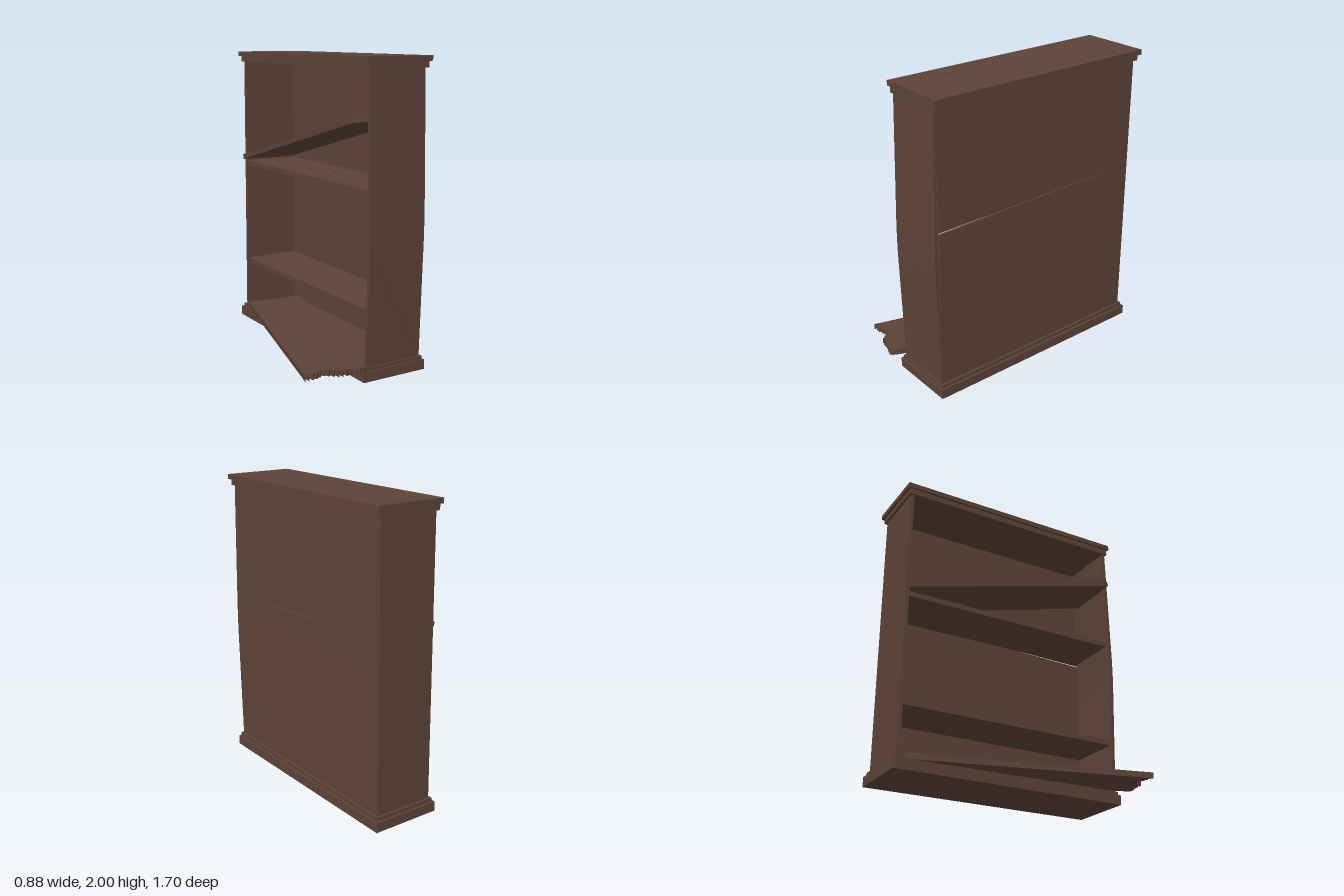
import * as THREE from 'three';

const wood = new THREE.MeshStandardMaterial({ color: 0x5d4338, flatShading: true, side: THREE.DoubleSide });
const lerp = THREE.MathUtils.lerp;

let seed = 7;
const rand = () => (seed = (seed * 16807) % 2147483647) / 2147483647;

function add(parent, name, geometry) {
  const mesh = new THREE.Mesh(geometry, wood);
  mesh.name = name;
  parent.add(mesh);
  return mesh;
}

// Box given by its limits on each axis
function slab(parent, name, x0, x1, y0, y1, z0, z1) {
  const g = new THREE.BoxGeometry(x1 - x0, y1 - y0, z1 - z0);
  g.translate((x0 + x1) / 2, (y0 + y1) / 2, (z0 + z1) / 2);
  return add(parent, name, g);
}

// Upright panel from u0 to u1: each end has its own bottom and top height.
// bow(y, t) pushes the panel outward; place(u, y, w) orients it.
function panel(parent, name, u0, u1, bottom, top, thick, bow, place) {
  const g = new THREE.BoxGeometry(1, 1, 1, 4, 14, 1);
  const p = g.attributes.position;
  for (let i = 0; i < p.count; i++) {
    const t = p.getX(i) + 0.5;
    const y = lerp(lerp(bottom[0], bottom[1], t), lerp(top[0], top[1], t), p.getY(i) + 0.5);
    const w = (p.getZ(i) - 0.5) * thick + bow(y, t);
    p.setXYZ(i, ...place(lerp(u0, u1, t), y, w));
  }
  g.computeVertexNormals();
  return add(parent, name, g);
}

// Thin wood sliver lying almost flat
function splinter(parent, x, y, z, length, turn, lift) {
  const g = new THREE.ConeGeometry(0.006, length, 3);
  g.rotateX(Math.PI / 2);
  const s = add(parent, 'splinter', g);
  s.position.set(x, y, z);
  s.rotation.set(-lift, turn, 0, 'YXZ');
}

export function createModel() {
  const model = new THREE.Group();
  model.name = 'brokenBookcase';

  // Stepped base and cornice
  slab(model, 'basePlinth', -0.04, 0.43, 0, 0.065, -0.86, 0.78);
  slab(model, 'baseStep', -0.025, 0.415, 0.065, 0.09, -0.845, 0.77);
  slab(model, 'corniceStep', -0.025, 0.42, 1.925, 1.965, -0.845, 0.77);
  slab(model, 'corniceTop', -0.04, 0.44, 1.965, 1.998, -0.86, 0.78);

  // Raised crack on the top
  const crack = slab(model, 'topCrack', -0.002, 0.002, 1.995, 2, -0.36, 0.36);
  crack.position.set(0.085, 0, 0.14);
  crack.rotation.y = -0.04;

  // Sides: one straight, one bowed and split diagonally
  const none = () => 0;
  const sideBow = y => 0.025 * THREE.MathUtils.clamp(Math.min((1.925 - y) / 0.88, (y - 0.09) / 0.81), 0, 1);
  panel(model, 'soundSide', -0.01, 0.4, [0.09, 0.09], [1.925, 1.925], 0.025, none,
    (u, y, w) => [u, y, -0.83 - w]);
  const bowed = (u, y, w) => [u, y, 0.76 + w];
  panel(model, 'splitSideUpper', -0.01, 0.4, [0.826, 0.092], [1.925, 1.925], 0.025, sideBow, bowed);
  panel(model, 'splitSideLower', -0.01, 0.4, [0.09, 0.09], [0.82, 0.09], 0.025, sideBow, bowed);

  // Three back boards, opening up toward the bowed side
  const backBow = (y, t) => 0.012 * t * Math.max(0, 1 - Math.abs(y - 1.05) / 0.85);
  const back = (u, y, w) => [0.4 + w, y, u];
  panel(model, 'backBoardLow', -0.83, 0.76, [0.09, 0.09], [0.456, 0.456], 0.015, backBow, back);
  panel(model, 'backBoardMiddle', -0.83, 0.76, [0.458, 0.458], [1.195, 1.155], 0.015, backBow, back);
  panel(model, 'backBoardHigh', -0.83, 0.76, [1.196, 1.168], [1.925, 1.925], 0.015, backBow, back);

  // Shelves still in place, with gouged slivers
  for (const y of [0.455, 1.2]) {
    slab(model, 'shelf', 0, 0.386, y - 0.035, y, -0.806, 0.745);
    for (let i = 0; i < 10; i++) {
      splinter(model, 0.03 + 0.3 * rand(), y, -0.5 + 1.1 * rand(), 0.04 + 0.06 * rand(), (rand() - 0.5) * 1.2, 0.02);
    }
  }

  // Shelf fallen from one end, leaning across the upper bay
  const leaning = add(model, 'leaningShelf', new THREE.BoxGeometry(0.41, 0.035, 1.57));
  leaning.position.set(0.135, 1.428, -0.04);
  leaning.rotation.set(-0.256, -0.04, 0, 'YXZ');

  // Snapped shelf on the floor, its ragged end sticking out of the front
  const fallen = new THREE.Group();
  fallen.name = 'fallenShelf';
  const width = 0.395;
  const ends = [[0, 1.5], [0.06, 1.49], [0.127, 1.44], [0.2, 1.5], [width, 1.505]];
  const endAt = u => {
    const i = Math.max(1, ends.findIndex(e => e[0] >= u));
    const [a, b] = [ends[i - 1], ends[i]];
    return lerp(a[1], b[1], (u - a[0]) / (b[0] - a[0]));
  };
  const outline = new THREE.Shape();
  outline.moveTo(0, -0.07);
  const teeth = 30;
  for (let i = 0; i <= teeth; i++) {
    const u = width * i / teeth;
    outline.lineTo(u, endAt(u) + (i % 2 ? -0.05 * rand() * (1 - 0.6 * u / width) : 0.008 * rand()));
  }
  outline.lineTo(width, -0.07);
  const plank = new THREE.ExtrudeGeometry(outline, { depth: 0.038, bevelEnabled: false });
  plank.rotateX(Math.PI / 2);
  add(fallen, 'snappedPlank', plank);
  for (let i = 0; i < 22; i++) {
    splinter(fallen, 0.02 + 0.35 * rand(), 0, 1.12 + 0.33 * rand(), 0.05 + 0.1 * rand(), (rand() - 0.5) * 0.5, 0.06 * rand());
  }
  fallen.position.set(-0.04, 0.112, -0.71);
  fallen.rotation.set(0, -0.269, 0.05, 'YXZ');
  model.add(fallen);

  return model;
}
